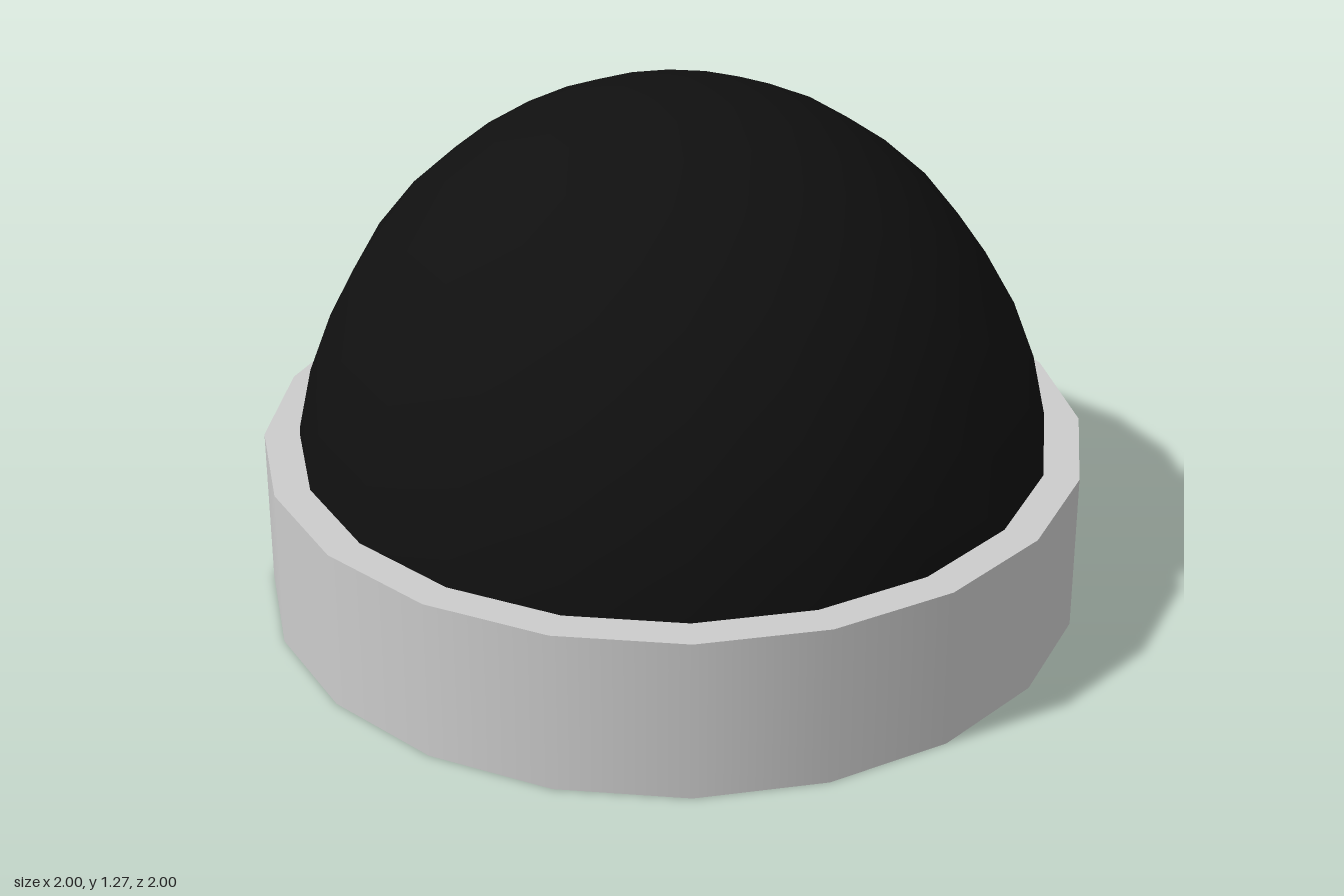
import * as THREE from 'three';

const SIDES = 20;

export function createModel() {
  const model = new THREE.Group();

  // Flat round base
  const base = new THREE.Mesh(
    new THREE.CylinderGeometry(1, 1, 0.4, SIDES),
    new THREE.MeshStandardMaterial({ color: 0xcccccc })
  );
  base.name = 'base';
  base.position.y = 0.2;
  model.add(base);

  // Dark, slightly tall dome sunk into the base
  const domeGeometry = new THREE.SphereGeometry(1, SIDES, 10, 0, Math.PI * 2, 0, Math.PI / 2);
  domeGeometry.scale(0.924, 1.015, 0.924);
  const dome = new THREE.Mesh(
    domeGeometry,
    new THREE.MeshStandardMaterial({ color: 0x101010, side: THREE.DoubleSide })
  );
  dome.name = 'dome';
  dome.position.y = 0.26;
  model.add(dome);

  return model;
}
